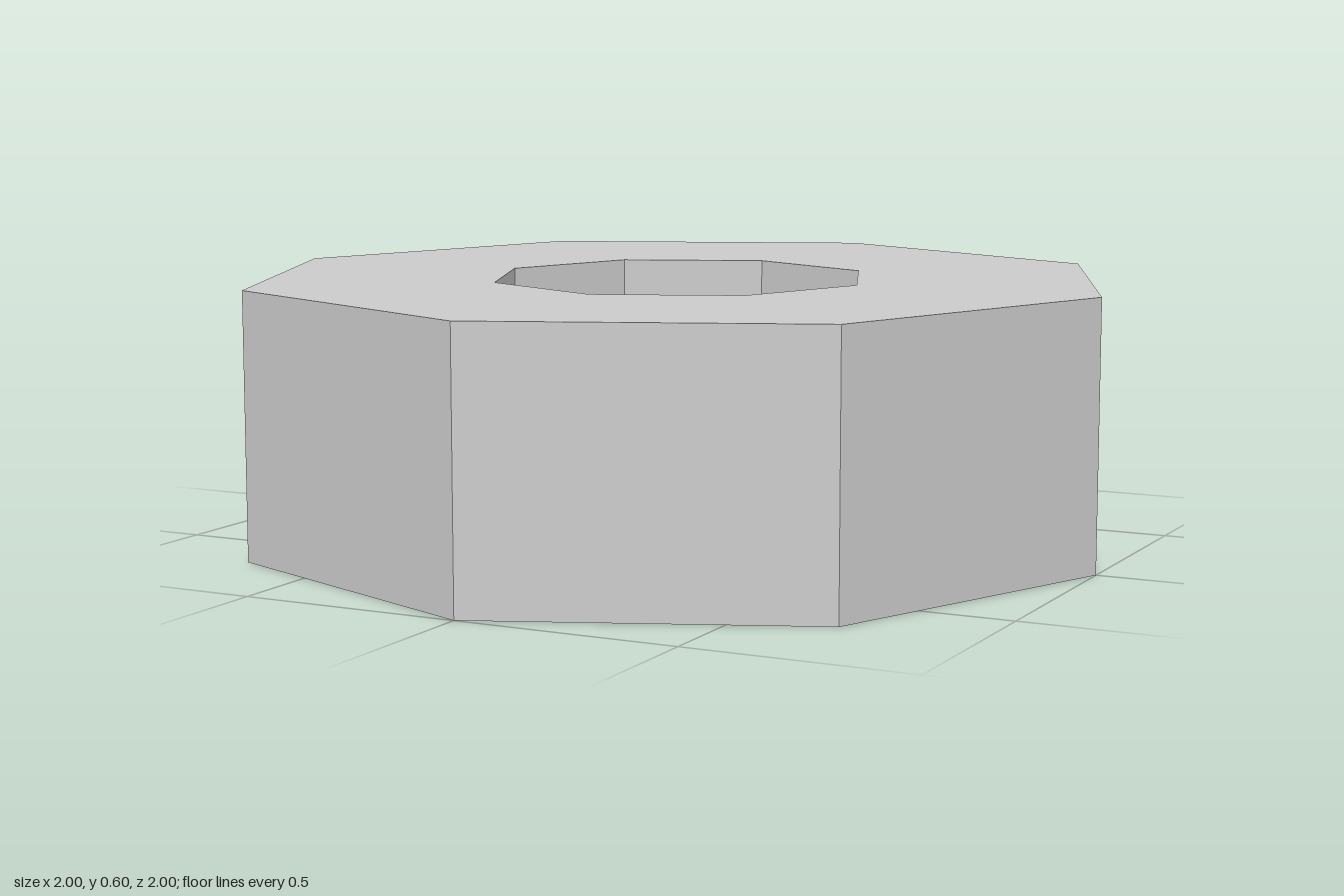
import * as THREE from 'three';

const SIDES = 8;
const OUTER_RADIUS = 1;
const HOLE_RADIUS = 0.436;
const HEIGHT = 0.6;

// Corners of a regular polygon, the first one on the x axis
function polygon(radius) {
  return Array.from({ length: SIDES }, (_, i) => {
    const a = (i / SIDES) * Math.PI * 2;
    return new THREE.Vector2(Math.cos(a) * radius, Math.sin(a) * radius);
  });
}

export function createModel() {
  const group = new THREE.Group();
  group.name = 'octagonalNut';

  // Octagonal block with a matching octagonal hole through it
  const outline = new THREE.Shape(polygon(OUTER_RADIUS));
  outline.holes.push(new THREE.Path(polygon(HOLE_RADIUS)));
  const geometry = new THREE.ExtrudeGeometry(outline, { depth: HEIGHT, bevelEnabled: false });
  geometry.rotateX(-Math.PI / 2); // lay flat, standing on y = 0

  const material = new THREE.MeshStandardMaterial({ color: 0xcccccc, flatShading: true });
  const ring = new THREE.Mesh(geometry, material);
  ring.name = 'octagonalRing';
  group.add(ring);
  return group;
}
